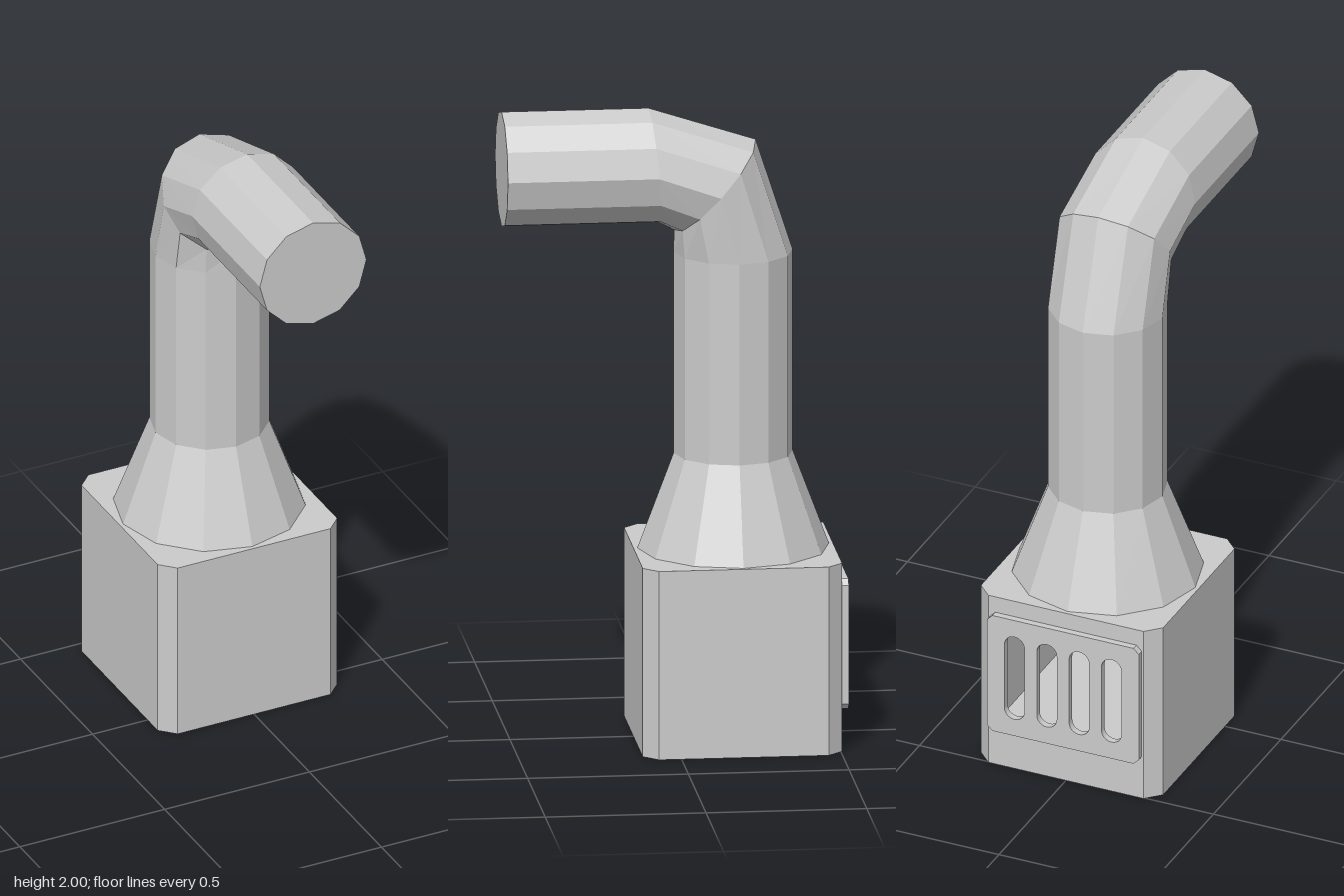
import * as THREE from 'three';

const material = new THREE.MeshStandardMaterial({ color: 0xcccccc, flatShading: true });
const CENTRE_Z = -0.194;

function add(parent, name, geometry) {
  const mesh = new THREE.Mesh(geometry, material);
  mesh.name = name;
  parent.add(mesh);
  return mesh;
}

// Rectangle with chamfered corners; extra points may cut a notch in the +y edge.
function chamferedShape(w, h, c, notch = []) {
  const points = [
    [-w + c, -h], [w - c, -h], [w, -h + c], [w, h - c], [w - c, h],
    ...notch,
    [-w + c, h], [-w, h - c], [-w, -h + c],
  ];
  return new THREE.Shape(points.map(([x, y]) => new THREE.Vector2(x, y)));
}

// Extrudes a floor plan upwards, with the shape's +y pointing to the back.
function storey(shape, y0, y1) {
  const geometry = new THREE.ExtrudeGeometry(shape, { depth: y1 - y0, bevelEnabled: false });
  return geometry.rotateX(-Math.PI / 2).translate(0, y0, CENTRE_Z);
}

// Skins twelve-sided rings, each given by [outer z, outer y, inner z, inner y, half width].
function loftPipe(rings, sides = 12) {
  const positions = [], index = [];
  for (const [oz, oy, iz, iy, w] of rings) {
    for (let j = 0; j < sides; j++) {
      const a = (j / sides) * Math.PI * 2, c = Math.cos(a) / 2;
      positions.push(w * Math.sin(a), (oy + iy) / 2 + (oy - iy) * c, (oz + iz) / 2 + (oz - iz) * c);
    }
  }
  for (let i = 0; i < rings.length - 1; i++) {
    for (let j = 0; j < sides; j++) {
      const k = (j + 1) % sides;
      const a = i * sides + j, b = i * sides + k, c = a + sides, d = b + sides;
      index.push(a, c, b, b, c, d);
    }
  }
  // closed mouth
  const last = (rings.length - 1) * sides;
  for (let j = 1; j < sides - 1; j++) index.push(last, last + j + 1, last + j);
  const geometry = new THREE.BufferGeometry();
  geometry.setAttribute('position', new THREE.Float32BufferAttribute(positions, 3));
  geometry.setIndex(index);
  geometry.computeVertexNormals();
  return geometry;
}

// Upright slot with rounded ends.
function slot(x, halfHeight, r) {
  const path = new THREE.Path();
  const s = halfHeight - r;
  path.moveTo(x + r, -s);
  path.lineTo(x + r, s);
  path.absarc(x, s, r, 0, Math.PI, false);
  path.lineTo(x - r, -s);
  path.absarc(x, -s, r, Math.PI, Math.PI * 2, false);
  return path;
}

export function createModel() {
  const model = new THREE.Group();
  model.name = 'ventilationPipe';

  // Chamfered housing with a cavity open at the back
  const housing = new THREE.Group();
  housing.name = 'housing';
  model.add(housing);
  const W = 0.31, C = 0.046;
  const notch = [[0.225, W], [0.225, -0.26], [-0.225, -0.26], [-0.225, W]];
  add(housing, 'housingFloor', storey(chamferedShape(W, W, C), 0, 0.17));
  add(housing, 'housingWalls', storey(chamferedShape(W, W, C, notch), 0.17, 0.51));
  add(housing, 'housingLid', storey(chamferedShape(W, W, C), 0.51, 0.6));

  // Slotted plate over the cavity
  const plate = chamferedShape(0.258, 0.207, 0.018);
  for (let i = 0; i < 4; i++) plate.holes.push(slot((i - 1.5) * 0.11, 0.148, 0.034));
  const grille = add(model, 'ventGrille',
    new THREE.ExtrudeGeometry(plate, { depth: 0.023, bevelEnabled: false, curveSegments: 6 }));
  grille.position.set(0, 0.338, -0.526);

  // Tapered collar, upright pipe, bend and forward spout in one skin
  add(model, 'pipe', loftPipe([
    [CENTRE_Z - 0.298, 0.6, CENTRE_Z + 0.298, 0.6, 0.298],
    [CENTRE_Z - 0.185, 0.9, CENTRE_Z + 0.185, 0.9, 0.186],
    [CENTRE_Z - 0.185, 1.54, CENTRE_Z + 0.185, 1.54, 0.186],
    [-0.264, 1.892, -0.01, 1.61, 0.186],
    [0.069, 2.0, 0.04, 1.636, 0.184],
    [0.526, 2.0, 0.526, 1.636, 0.184],
  ]));

  return model;
}
